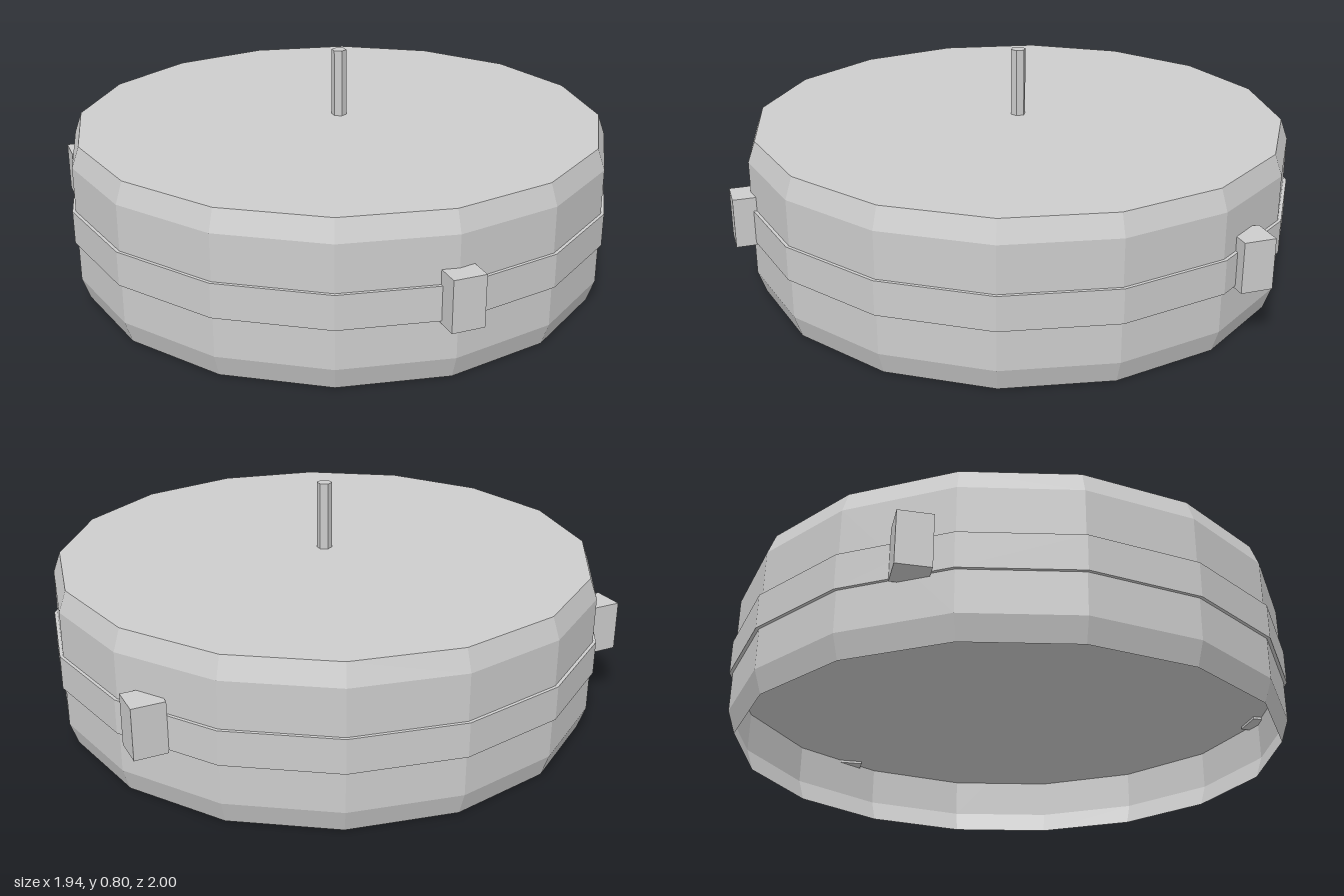
import * as THREE from 'three';

const SIDES = 16;
const CENTER_Z = -0.028;

export function createModel() {
  const model = new THREE.Group();
  const grey = new THREE.MeshStandardMaterial({ color: 0xcccccc, side: THREE.DoubleSide, flatShading: true });
  grey.name = 'plain grey';

  const add = (name, geometry, x, y, z) => {
    const mesh = new THREE.Mesh(geometry, grey);
    mesh.name = name;
    mesh.position.set(x, y, z);
    model.add(mesh);
  };

  // Chamfered drum shell, closed on top and open underneath
  const profile = [[0.935, 0], [0.961, 0.077], [0.961, 0.488], [0.935, 0.56], [0, 0.56]]
    .map(([r, y]) => new THREE.Vector2(r, y));
  add('drumShell', new THREE.LatheGeometry(profile, SIDES), 0, 0, CENTER_Z);

  // Solid disc whose rim forms the raised band
  add('middleBand', new THREE.CylinderGeometry(0.972, 0.972, 0.116, SIDES), 0, 0.273, CENTER_Z);

  // Three square lugs spaced evenly round the band, all aligned to the axes
  ['frontLug', 'leftLug', 'rightLug'].forEach((name, i) => {
    const angle = (i * Math.PI * 2) / 3;
    add(name, new THREE.BoxGeometry(0.11, 0.174, 0.11),
      Math.sin(angle) * 0.973, 0.293, CENTER_Z + Math.cos(angle) * 0.973);
  });

  // Hexagonal centre pin
  add('centrePin', new THREE.CylinderGeometry(0.027, 0.027, 0.3, 6), 0, 0.65, CENTER_Z);

  return model;
}
